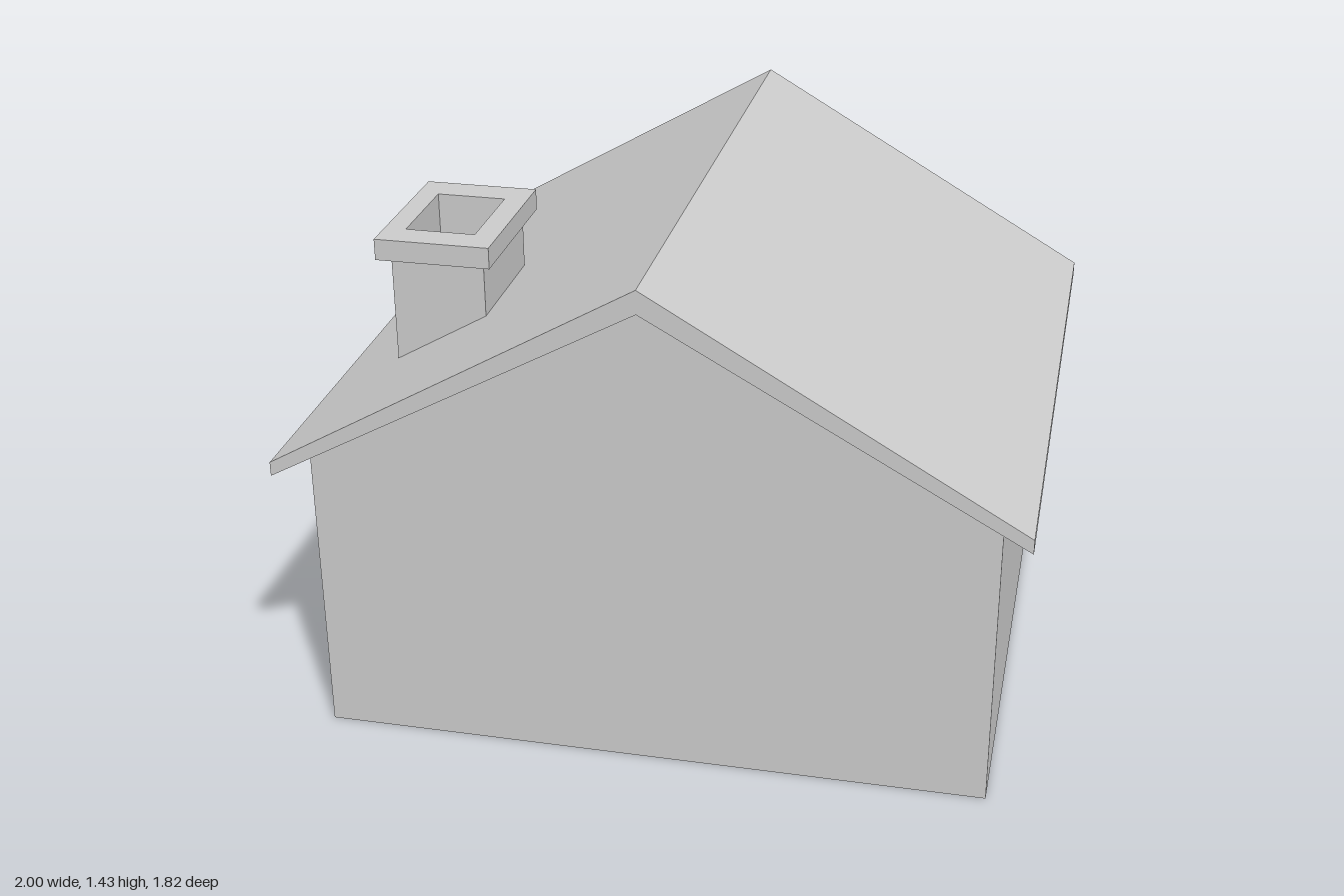
import * as THREE from 'three';

const material = new THREE.MeshStandardMaterial({ color: 0xcccccc, flatShading: true });

const outline = (points) => points.map(([x, y]) => new THREE.Vector2(x, y));

const rect = (x0, x1, y0, y1) => outline([[x0, y0], [x1, y0], [x1, y1], [x0, y1]]);

// Extrude an outline (with optional holes) from z0 to z1.
function slab(points, z0, z1, holes = []) {
  const shape = new THREE.Shape(points);
  for (const hole of holes) shape.holes.push(new THREE.Path(hole));
  const geometry = new THREE.ExtrudeGeometry(shape, { depth: z1 - z0, bevelEnabled: false });
  return geometry.translate(0, 0, z0);
}

function part(name, geometry, parent) {
  const mesh = new THREE.Mesh(geometry, material);
  mesh.name = name;
  parent.add(mesh);
  return mesh;
}

function box(name, w, h, d, x, y, z, parent) {
  return part(name, new THREE.BoxGeometry(w, h, d).translate(x, y, z), parent);
}

const WALL_BACK = -0.845;
const DOOR_BACK = -0.69;

function buildWalls(house) {
  const gable = [[0.92, 0.855], [0, 1.365], [-0.92, 0.855]];
  part('mainWalls', slab(outline([[-0.92, 0], [0.92, 0], ...gable]), DOOR_BACK, 0.83), house);
  // Rear wall with the door recess cut out down to the ground
  const notched = [[-0.92, 0], [-0.18, 0], [-0.18, 0.72], [0.18, 0.72], [0.18, 0], [0.92, 0], ...gable];
  part('doorWall', slab(outline(notched), WALL_BACK, DOOR_BACK), house);
}

function buildRoof(house) {
  const chevron = [[-1, 0.81], [0, 1.365], [1, 0.81], [1, 0.85], [0, 1.43], [-1, 0.85]];
  part('roof', slab(outline(chevron), -0.91, 0.91), house);
}

function buildDoorFrame(house) {
  // Jambs taper to a point at the ground
  const frame = [
    [0.18, 0], [0.22, 0.05], [0.22, 0.755], [-0.22, 0.755], [-0.22, 0.05],
    [-0.18, 0], [-0.18, 0.72], [0.18, 0.72],
  ];
  part('doorFrame', slab(outline(frame), -0.865, WALL_BACK), house);
}

function buildWindow(name, x, house) {
  const window = new THREE.Group();
  window.name = name;
  window.position.set(x, 0.508, WALL_BACK);
  const opening = rect(-0.1, 0.1, -0.127, 0.127);
  part('windowFrame', slab(rect(-0.13, 0.13, -0.157, 0.157), -0.045, 0, [opening]), window);
  // Glazing bars sit slightly behind the frame face
  box('verticalBar', 0.03, 0.254, 0.03, 0, 0, -0.015, window);
  box('horizontalBar', 0.2, 0.03, 0.03, 0, 0, -0.015, window);
  house.add(window);
}

function buildChimney(house) {
  const chimney = new THREE.Group();
  chimney.name = 'chimney';
  const flue = rect(-0.76, -0.565, -0.425, -0.15);
  const shaft = slab(rect(-0.79, -0.53, -0.47, -0.1), 0.9, 1.28, [flue]).rotateX(-Math.PI / 2);
  // Cut the foot of the shaft to the roof slope
  const p = shaft.attributes.position;
  for (let i = 0; i < p.count; i++) {
    if (p.getY(i) < 1) p.setY(i, 1.41 + 0.58 * p.getX(i));
  }
  shaft.computeVertexNormals();
  part('chimneyShaft', shaft, chimney);
  const cap = slab(rect(-0.82, -0.5, -0.513, -0.058), 1.28, 1.34, [flue]).rotateX(-Math.PI / 2);
  part('chimneyCap', cap, chimney);
  house.add(chimney);
}

export function createModel() {
  const house = new THREE.Group();
  house.name = 'house';
  buildWalls(house);
  buildRoof(house);
  buildDoorFrame(house);
  buildWindow('leftWindow', 0.6, house);
  buildWindow('rightWindow', -0.6, house);
  buildChimney(house);
  return house;
}
